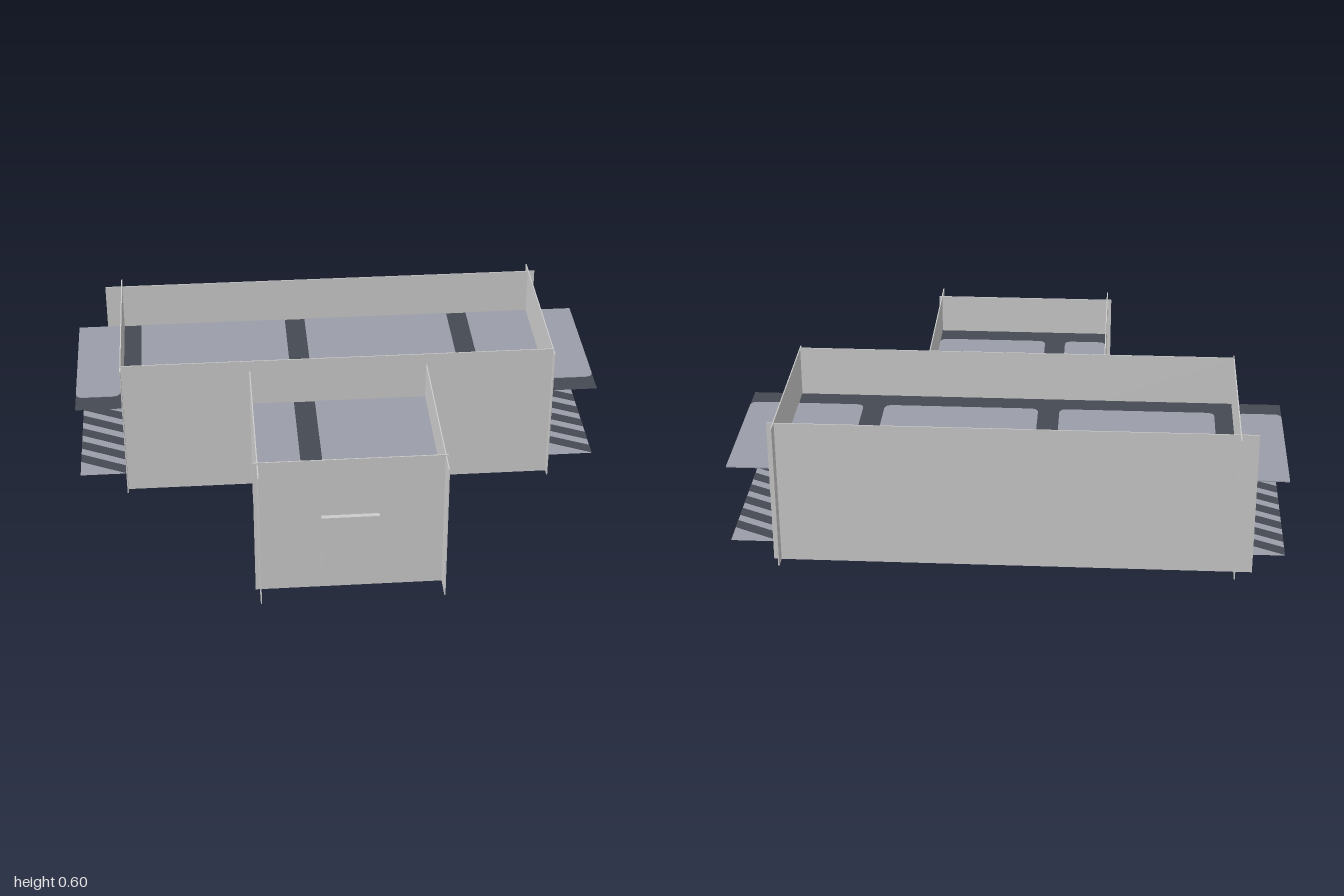
import * as THREE from 'three';

const T = 0.004; // sheet thickness

export function createModel() {
  const model = new THREE.Group();
  model.name = 'openHall';

  const mat = (name, color) => {
    const m = new THREE.MeshStandardMaterial({ color, side: THREE.DoubleSide });
    m.name = name;
    return m;
  };
  const wall = mat('wallGrey', 0xcccccc);
  const light = mat('panelGrey', 0x9b9ea8);
  const dark = mat('bandSlate', 0x454952);

  const add = (name, geo, m) => {
    const mesh = new THREE.Mesh(geo, m);
    mesh.name = name;
    model.add(mesh);
    return mesh;
  };
  // box given by its limits on each axis
  const box = (name, [x0, x1], [y0, y1], [z0, z1], m = wall) =>
    add(name, new THREE.BoxGeometry(x1 - x0, y1 - y0, z1 - z0)
      .translate((x0 + x1) / 2, (y0 + y1) / 2, (z0 + z1) / 2), m);
  const sheet = (c) => [c - T / 2, c + T / 2];

  // flat horizontal plate from an outline in x and z
  const plate = (name, shape, y, m, t = T) => {
    const geo = new THREE.ExtrudeGeometry(shape, { depth: t, bevelEnabled: false, curveSegments: 5 });
    return add(name, geo.rotateX(Math.PI / 2).translate(0, y + t / 2, 0), m);
  };
  const rounded = (x0, x1, z0, z1, back, front) => {
    const s = new THREE.Shape();
    s.moveTo(x0 + back, z0);
    s.lineTo(x1 - back, z0);
    s.quadraticCurveTo(x1, z0, x1, z0 + back);
    s.lineTo(x1, z1 - front);
    s.quadraticCurveTo(x1, z1, x1 - front, z1);
    s.lineTo(x0 + front, z1);
    s.quadraticCurveTo(x0, z1, x0, z1 - front);
    s.lineTo(x0, z0 + back);
    s.quadraticCurveTo(x0, z0, x0 + back, z0);
    return s;
  };
  const floor = (name, x0, x1, z0, z1, y, m) =>
    add(name, new THREE.PlaneGeometry(x1 - x0, z1 - z0).rotateX(-Math.PI / 2)
      .translate((x0 + x1) / 2, y, (z0 + z1) / 2), m);

  // main hall walls, running past each other at the corners
  box('backWall', [-0.885, 0.845], [0.04, 0.592], sheet(-0.638));
  for (const x of [-0.82, 0.82]) box('endWall', sheet(x), [0.04, 0.595], [-0.692, 0.012]);

  // front wall with a doorway into the annex
  const front = new THREE.Shape();
  front.moveTo(-0.82, 0.04);
  for (const [x, y] of [[-0.11, 0.04], [-0.11, 0.32], [0.1, 0.32], [0.1, 0.04],
    [0.82, 0.04], [0.82, 0.6], [-0.82, 0.6]]) front.lineTo(x, y);
  add('frontWall', new THREE.ExtrudeGeometry(front, { depth: T, bevelEnabled: false })
    .translate(0, 0, -0.02), wall);

  // annex walls and door panel
  for (const x of [-0.335, 0.335]) box('annexSideWall', sheet(x), [0, 0.555], [-0.015, 0.69]);
  box('annexFrontWall', [-0.352, 0.345], [0, 0.56], sheet(0.6));
  box('annexDoorPanel', [-0.11, 0.1], [0.11, 0.32], [0.602, 0.62]);

  // upper floors: dark base with paler panels
  const upper = 0.41, lower = 0.11;
  floor('upperFloor', -1, 1, -0.635, -0.022, upper, dark);
  for (const [a, b] of [[-1, -0.83], [-0.75, -0.17], [-0.09, 0.49], [0.57, 1]])
    plate('upperFloorPanel', rounded(a, b, -0.635, -0.108, 0, 0.03), upper, light);
  floor('annexUpperFloor', -0.333, 0.333, -0.015, 0.598, upper, dark);
  for (const [a, b] of [[-0.333, -0.17], [-0.09, 0.333]])
    plate('annexUpperFloorPanel', rounded(a, b, -0.015, 0.51, 0, 0.03), upper, light);

  // lower floors: pale base with dark rounded panels
  floor('lowerFloor', -1, 1, -0.635, -0.022, lower, light);
  for (const [a, b] of [[-0.815, -0.37], [-0.29, 0.29], [0.37, 0.815]])
    for (const [c, d] of [[-0.63, -0.43], [-0.36, -0.03]])
      plate('lowerFloorPanel', rounded(a, b, c, d, 0.06, 0.06), lower, dark);
  floor('annexLowerFloor', -0.333, 0.333, -0.015, 0.598, lower, light);
  for (const [a, b] of [[-0.33, -0.04], [0.04, 0.33]])
    for (const [c, d] of [[-0.01, 0.25], [0.33, 0.595]])
      plate('annexLowerFloorPanel', rounded(a, b, c, d, 0.06, 0.06), lower, dark);

  // ledges at both ends: slanted stripes on the lower, trays under the upper
  for (const s of [-1, 1]) {
    const x0 = s > 0 ? 0.825 : -1, x1 = x0 + 0.175;
    for (let i = 0; i < 6; i++) {
      const z = -0.63 + i * 0.093;
      const stripe = new THREE.Shape();
      stripe.moveTo(x0, z);
      stripe.lineTo(x1, z + 0.09);
      stripe.lineTo(x1, z + 0.14);
      stripe.lineTo(x0, z + 0.05);
      plate('ledgeStripe', stripe, lower, dark);
    }
    for (const z of [-0.18, -0.47])
      box('ledgeTray', s > 0 ? [0.84, 0.945] : [-0.945, -0.84], [0.398, 0.407], [z - 0.07, z + 0.07]);
  }
  return model;
}
